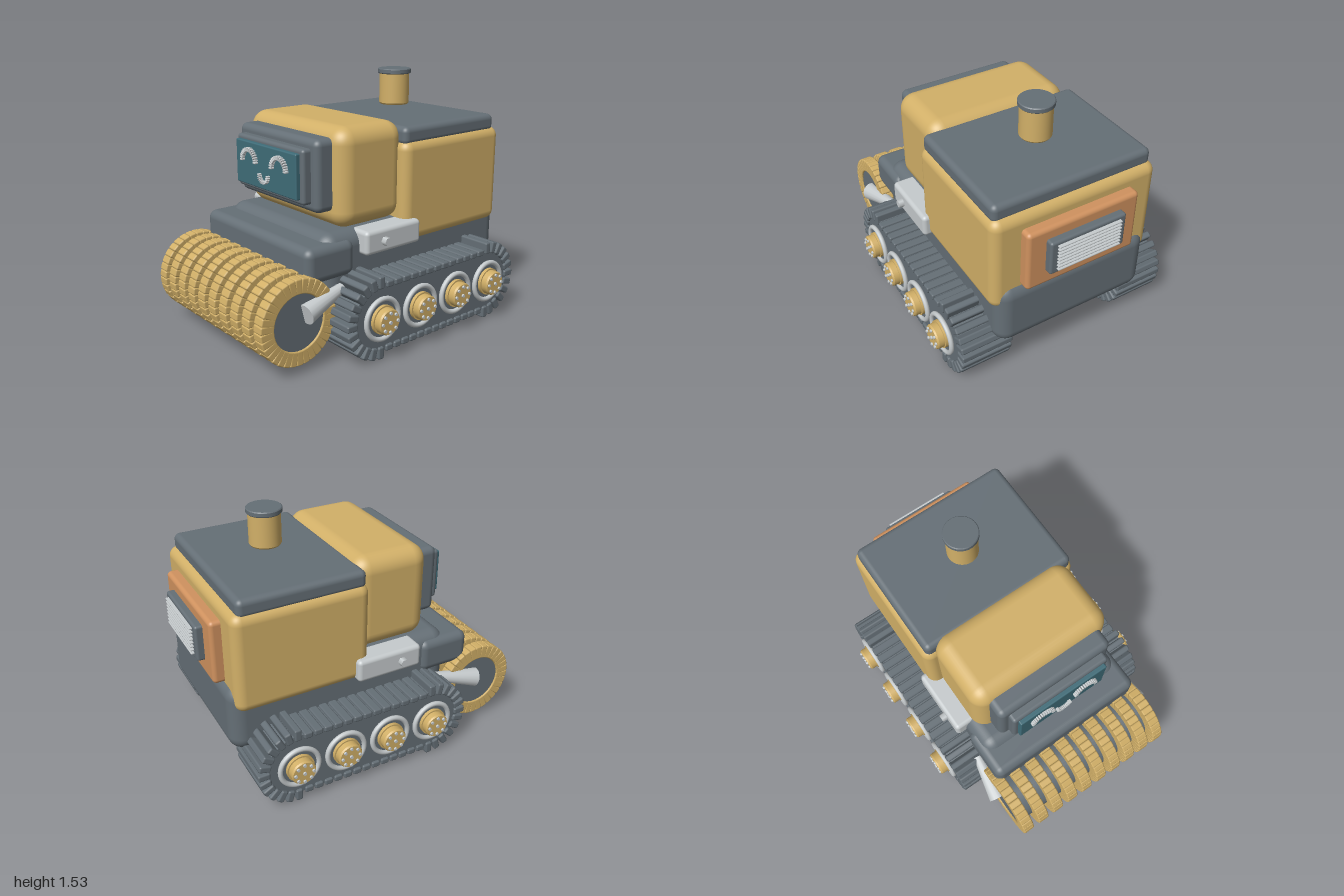
import * as THREE from 'three';
import { mergeGeometries } from 'three/addons/utils/BufferGeometryUtils.js';
import { RoundedBoxGeometry } from 'three/addons/geometries/RoundedBoxGeometry.js';

const mat = (name, color) => {
  const m = new THREE.MeshStandardMaterial({ color });
  m.name = name;
  return m;
};

export function createModel() {
  const root = new THREE.Group();
  root.name = 'trackedRollerRobot';
  const gold = mat('gold', 0xd2b068);
  const dark = mat('slate', 0x656f76);
  const light = mat('lightGrey', 0xc6cbcd);
  const teal = mat('teal', 0x3f6c78);
  const orange = mat('copper', 0xd0925f);

  const add = (name, geo, material, parent = root) => {
    const m = new THREE.Mesh(geo, material);
    m.name = name;
    parent.add(m);
    return m;
  };
  // Rounded box given by its min / max extents
  const box = (name, x0, x1, y0, y1, z0, z1, r, material, parent) => {
    const g = new RoundedBoxGeometry(x1 - x0, y1 - y0, z1 - z0, 5, r);
    g.translate((x0 + x1) / 2, (y0 + y1) / 2, (z0 + z1) / 2);
    return add(name, g, material, parent);
  };
  // Cylinder lying along x
  const axle = (r0, r1, len, x, y, z, n = 32) =>
    new THREE.CylinderGeometry(r1, r0, len, n).rotateZ(-Math.PI / 2).translate(x, y, z);

  // Hull and body
  box('chassis', -0.505, 0.505, 0.29, 0.72, -0.9, 0.53, 0.09, dark);
  box('hood', -0.525, 0.525, 0.47, 0.68, 0.33, 0.67, 0.05, dark);
  box('cabin', -0.53, 0.53, 0.57, 1.18, -0.87, -0.04, 0.06, gold);
  box('roof', -0.508, 0.508, 1.15, 1.26, -0.83, -0.055, 0.035, dark);
  box('head', -0.465, 0.465, 0.71, 1.295, -0.1, 0.39, 0.1, gold);

  // Face
  box('faceFrame', -0.385, 0.385, 0.815, 1.235, 0.32, 0.495, 0.04, dark);
  box('faceBezel', -0.33, 0.33, 0.865, 1.183, 0.45, 0.548, 0.02, dark);
  box('screen', -0.3, 0.3, 0.895, 1.158, 0.52, 0.575, 0.008, teal);

  // Ribbed arcs for the eyes and smile
  const ribbedArc = (name, cx, cy, r, a0, a1, n, thick) => {
    const parts = [];
    for (let i = 0; i < n; i++) {
      const a = a0 + ((a1 - a0) * i) / (n - 1);
      const pitch = (r * Math.abs(a1 - a0)) / (n - 1);
      const g = new RoundedBoxGeometry(thick, pitch * 0.85, 0.03, 1, 0.004);
      parts.push(g.rotateZ(a).translate(cx + r * Math.cos(a), cy + r * Math.sin(a), 0.583));
    }
    add(name, mergeGeometries(parts), light);
  };
  for (const s of [-1, 1])
    ribbedArc(s > 0 ? 'leftEye' : 'rightEye', s * 0.15, 1.045, 0.069, 0, Math.PI, 17, 0.026);
  ribbedArc('smile', 0, 0.985, 0.043, Math.PI, Math.PI * 2, 13, 0.02);

  // Chimney, hovering just over the roof
  const pipe = [[0, 1.305], [0.088, 1.305], [0.095, 1.315], [0.095, 1.505], [0, 1.505]];
  const cap = [[0, 1.5], [0.1, 1.5], [0.105, 1.505], [0.105, 1.527], [0.1, 1.532], [0, 1.532]];
  const lathe = (pts) => {
    // duplicated points keep the edges crisp
    const v = pts.flatMap(([x, y]) => [new THREE.Vector2(x, y), new THREE.Vector2(x, y)]);
    return new THREE.LatheGeometry(v, 40).translate(0, 0, -0.44);
  };
  add('chimney', lathe(pipe), gold);
  add('chimneyCap', lathe(cap), dark);

  // Rear panel and grille
  box('rearPanel', -0.36, 0.36, 0.7, 1.09, -0.935, -0.84, 0.025, orange);
  box('rearVent', -0.245, 0.245, 0.8, 1.02, -0.98, -0.9, 0.015, dark);
  const slats = [];
  for (let i = 0; i < 8; i++)
    slats.push(new RoundedBoxGeometry(0.41, 0.01, 0.03, 1, 0.004).translate(0, 0.835 + i * 0.0225, -0.985));
  add('grilleSlats', mergeGeometries(slats), light);

  // Front roller: drum with ten rings of blocks
  const RY = 0.305, RZ = 0.75;
  add('drum', axle(0.17, 0.17, 1.09, 0, RY, RZ, 48), dark);
  const teeth = 34;
  for (let k = 0; k < 10; k++) {
    const blocks = [];
    for (let i = 0; i < teeth; i++) {
      const g = new RoundedBoxGeometry(0.075, 0.088, 0.045, 1, 0.009);
      g.translate((k - 4.5) * 0.115, 0.207, 0).rotateX((i * Math.PI * 2) / teeth);
      blocks.push(g.translate(0, RY, RZ));
    }
    add('rollerRing' + (k + 1), mergeGeometries(blocks), gold);
  }

  // Closed loop of tread bars around a stadium path
  const ZF = 0.295, ZB = -0.595, WY = 0.253, BX = 0.545;
  const trackGeometry = () => {
    const parts = [];
    const bar = (len, thick, radius, angle, z) => {
      const g = new RoundedBoxGeometry(0.33, thick, len, 1, 0.011);
      parts.push(g.translate(0, radius - thick / 2, 0).rotateX(angle).translate(BX, WY, z));
    };
    for (let i = 0; i <= 12; i++) {
      const a = (i * Math.PI) / 12;
      bar(0.042, 0.075, 0.25, a, ZF);
      bar(0.042, 0.075, 0.25, -a, ZB);
    }
    const n = 14;
    for (let i = 1; i < n; i++) {
      const z = ZB + ((ZF - ZB) * i) / n;
      bar(0.054, 0.04, 0.213, 0, z);
      bar(0.054, 0.04, 0.213, Math.PI, z);
    }
    return mergeGeometries(parts);
  };
  const coreGeometry = () => {
    const s = new THREE.Shape();
    s.absarc(ZF, 0, 0.2, -Math.PI / 2, Math.PI / 2);
    s.absarc(ZB, 0, 0.2, Math.PI / 2, Math.PI * 1.5);
    const g = new THREE.ExtrudeGeometry(s, { depth: 0.3, bevelEnabled: false, curveSegments: 20 });
    return g.rotateY(-Math.PI / 2).translate(BX + 0.15, WY, 0);
  };

  for (const s of [1, -1]) {
    const side = new THREE.Group();
    side.name = s > 0 ? 'leftSide' : 'rightSide';
    root.add(side);
    // Tracks
    const x = (g) => (s > 0 ? g : g.rotateY(Math.PI));
    const mirrored = (g) => {
      // symmetric parts: turn half round, then restore the z placement
      if (s > 0) return g;
      g.computeBoundingBox();
      const zc = g.boundingBox.min.z + g.boundingBox.max.z;
      return x(g).translate(0, 0, zc);
    };
    add('trackCore', mirrored(coreGeometry()), dark, side);
    add('treads', mirrored(trackGeometry()), dark, side);
    // Road wheels
    for (let i = 0; i < 4; i++) {
      const z = ZF + ((ZB - ZF) * i) / 3;
      const rim = new THREE.TorusGeometry(0.12, 0.015, 10, 40).rotateY(Math.PI / 2).translate(0.712, WY, z);
      add('wheelRim', mirrored(rim), light, side);
      add('wheelDisc', mirrored(axle(0.118, 0.118, 0.02, 0.7, WY, z)), dark, side);
      add('wheelHub', mirrored(mergeGeometries([
        axle(0.085, 0.085, 0.03, 0.715, WY, z),
        axle(0.076, 0.076, 0.035, 0.7475, WY, z),
        axle(0.076, 0.07, 0.01, 0.77, WY, z),
      ])), gold, side);
      const bolts = [axle(0.012, 0.01, 0.015, 0.777, WY, z, 10)];
      for (let b = 0; b < 8; b++) {
        const a = (b * Math.PI) / 4;
        bolts.push(axle(0.011, 0.009, 0.015, 0.777, WY + 0.056 * Math.cos(a), z + 0.056 * Math.sin(a), 10));
      }
      add('hubBolts', mirrored(mergeGeometries(bolts)), light, side);
    }
    // Side bracket with hex bolt
    box('sideBracket', s > 0 ? 0.42 : -0.57, s > 0 ? 0.57 : -0.42, 0.575, 0.718, -0.135, 0.29, 0.025, light, side);
    add('bracketBolt', mirrored(axle(0.027, 0.025, 0.04, 0.583, 0.645, 0.155, 6)), light, side);
    // Roller arm, widening toward the drum axle
    const from = new THREE.Vector3(s * 0.53, 0.42, 0.44), to = new THREE.Vector3(s * 0.565, 0.35, 0.72);
    const arm = add('rollerArm', new THREE.CylinderGeometry(0.06, 0.03, from.distanceTo(to), 16), light, side);
    arm.position.copy(from).lerp(to, 0.5);
    arm.quaternion.setFromUnitVectors(new THREE.Vector3(0, 1, 0), to.clone().sub(from).normalize());
  }
  return root;
}
